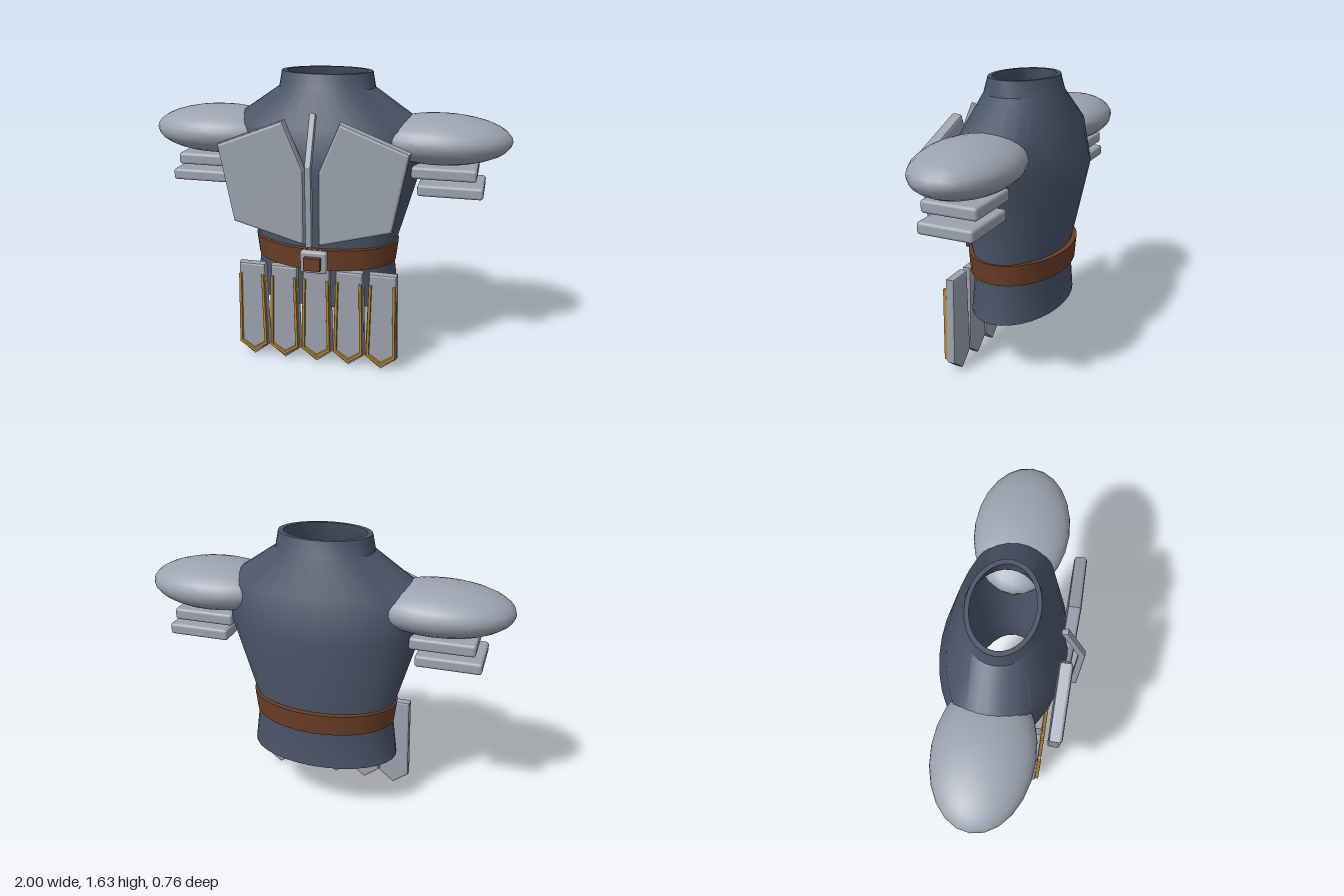
import * as THREE from 'three';
import { toCreasedNormals } from 'three/addons/utils/BufferGeometryUtils.js';
import { RoundedBoxGeometry } from 'three/addons/geometries/RoundedBoxGeometry.js';

const CZ = -0.042; // z of the body axis

function makeMaterial(name, color) {
  const m = new THREE.MeshStandardMaterial({ color });
  m.name = name;
  return m;
}

// Elliptical rings [y, rx, rz] joined in a closed loop: up the outside, down the inside.
function loftShell(rings, segments) {
  const pos = [], index = [];
  for (const [y, rx, rz] of rings) {
    for (let j = 0; j < segments; j++) {
      const a = (j / segments) * Math.PI * 2;
      pos.push(Math.cos(a) * rx, y, Math.sin(a) * rz + CZ);
    }
  }
  const n = rings.length;
  for (let i = 0; i < n; i++) {
    for (let j = 0; j < segments; j++) {
      const k = (j + 1) % segments, up = (i + 1) % n;
      const a = i * segments + j, b = up * segments + j;
      const c = up * segments + k, d = i * segments + k;
      index.push(a, b, c, a, c, d);
    }
  }
  const geo = new THREE.BufferGeometry();
  geo.setAttribute('position', new THREE.Float32BufferAttribute(pos, 3));
  geo.setIndex(index);
  return toCreasedNormals(geo, 0.6);
}

// Bevelled plate whose outline is the given points and which fills z0..z1.
function plate(points, z0, z1, bevel) {
  const shape = new THREE.Shape(points.map(([x, y]) => new THREE.Vector2(x, y)));
  const geo = new THREE.ExtrudeGeometry(shape, {
    depth: z1 - z0 - 2 * bevel, bevelEnabled: bevel > 0, bevelThickness: bevel,
    bevelSize: bevel, bevelOffset: -bevel, bevelSegments: 2,
  });
  return geo.translate(0, 0, z0 + bevel);
}

export function createModel() {
  const model = new THREE.Group();
  model.name = 'bodyArmour';
  const cloth = makeMaterial('slateBlue', 0x4a5568);
  const steel = makeMaterial('steel', 0x9ca3af);
  const leather = makeMaterial('brownLeather', 0x6b3e26);
  const gold = makeMaterial('gold', 0xb8862b);

  const add = (name, geo, mat, x = 0, y = 0, z = 0) => {
    const mesh = new THREE.Mesh(geo, mat);
    mesh.name = name;
    mesh.position.set(x, y, z);
    model.add(mesh);
    return mesh;
  };

  // Hollow torso, open at neck and hem
  const outer = [
    [0.355, 0.425, 0.255], [0.64, 0.388, 0.236], [1.14, 0.53, 0.335],
    [1.355, 0.55, 0.276], [1.55, 0.265, 0.205], [1.635, 0.25, 0.18],
  ];
  const inner = outer.map(([y, rx, rz]) => [y, rx - 0.027, rz - 0.022]).reverse();
  add('torso', loftShell([...outer, ...inner], 32), cloth);

  // Belt and buckle
  add('belt', loftShell([
    [0.58, 0.403, 0.27], [0.70, 0.417, 0.278], [0.70, 0.385, 0.235], [0.58, 0.38, 0.23],
  ], 32), leather);
  add('buckle', new RoundedBoxGeometry(0.148, 0.126, 0.044, 2, 0.014), steel, 0, 0.643, 0.263);
  add('buckleCentre', new THREE.BoxGeometry(0.092, 0.07, 0.06), leather, 0, 0.642, 0.285);

  // Breastplates
  const breast = [[0.04, 0.755], [0.43, 0.86], [0.51, 1.28], [0.15, 1.42], [0.04, 1.16]];
  const mirrored = breast.map(([x, y]) => [-x, y]).reverse();
  add('leftBreastplate', plate(breast, 0.257, 0.325, 0.015), steel);
  add('rightBreastplate', plate(mirrored, 0.257, 0.325, 0.015), steel);

  // Central ridge: side outline (z, y) extruded across x
  const ridge = [
    [0.335, 0.765], [0.371, 0.765], [0.384, 1.2], [0.277, 1.457], [0.246, 1.442], [0.347, 1.195],
  ];
  add('chestRidge', plate(ridge, -0.017, 0.017, 0.006).rotateY(-Math.PI / 2), steel);

  // Shoulder guards with two arm plates each
  for (const side of [1, -1]) {
    const label = side > 0 ? 'left' : 'right';
    const dome = add(label + 'Pauldron', new THREE.SphereGeometry(1, 24, 16), steel, side * 0.618, 1.292, CZ);
    dome.scale.set(0.382, 0.133, 0.255);
    add(label + 'UpperArmPlate', new RoundedBoxGeometry(0.342, 0.066, 0.3, 2, 0.016), steel, side * 0.66, 1.131, CZ);
    add(label + 'LowerArmPlate', new RoundedBoxGeometry(0.346, 0.064, 0.3, 2, 0.016), steel, side * 0.697, 1.037, CZ);
  }

  // Skirt of five pointed plates, each with a gold edging
  const tasset = plate(
    [[-0.076, 0.58], [-0.091, 0.078], [0, 0.006], [0.091, 0.078], [0.076, 0.58]].reverse(),
    0.167, 0.22, 0.012);
  const edging = plate([
    [-0.073, 0.517], [-0.082, 0.088], [0, 0.033], [0.082, 0.088], [0.073, 0.517],
    [0.058, 0.517], [0.066, 0.097], [0, 0.052], [-0.066, 0.097], [-0.058, 0.517],
  ], 0.215, 0.238, 0.003);
  for (let i = -2; i <= 2; i++) {
    add('skirtPlate', tasset, steel, i * 0.1865);
    add('skirtEdging', edging, gold, i * 0.1865);
  }
  return model;
}
